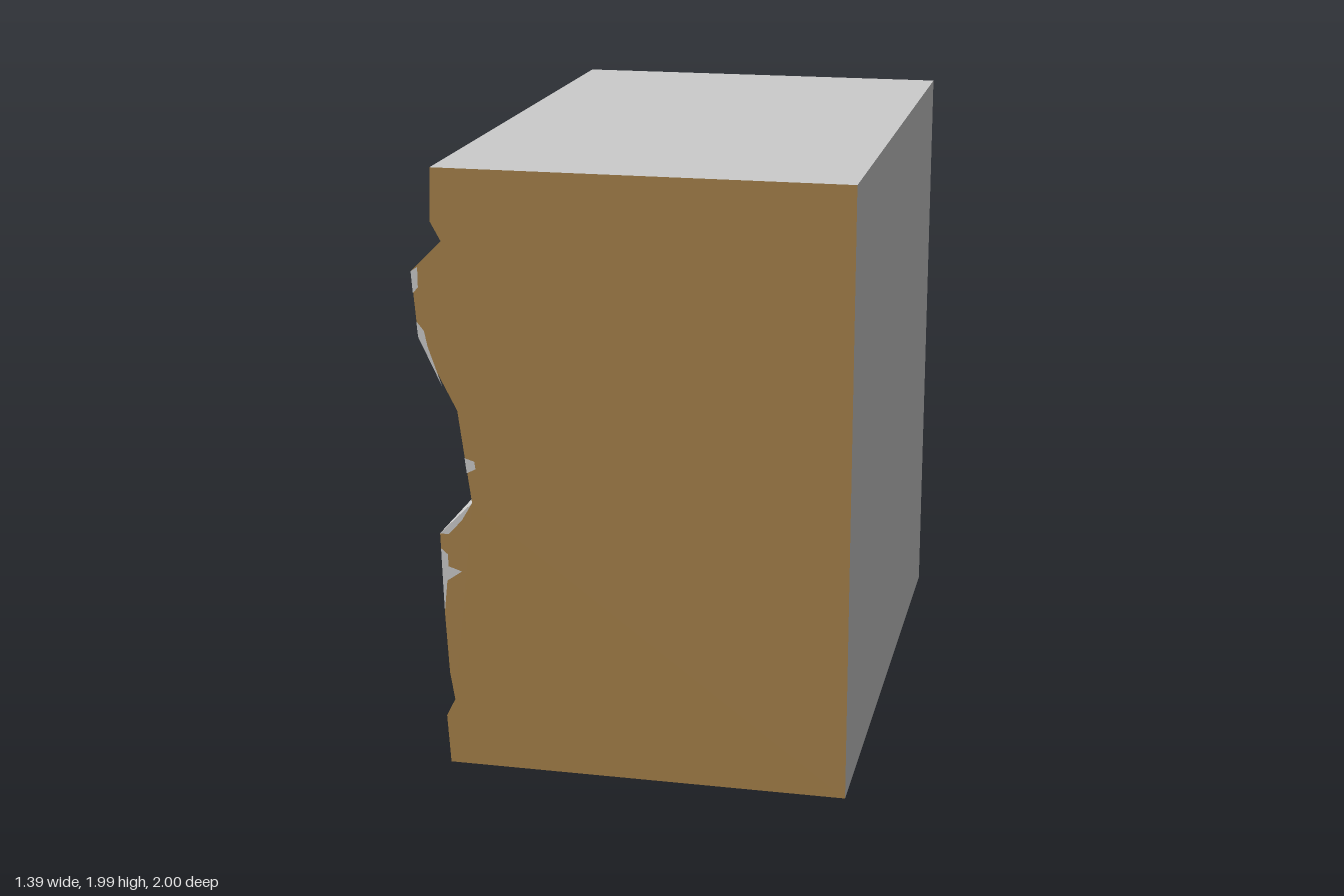
import * as THREE from 'three';

const RIGHT = 0.695, TOP = 1.99, FRONT = 1, BACK = -1;

// Moulded edge, listed from top to bottom
const PROFILE = [
  [-0.625, TOP], [-0.63, 1.82], [-0.597, 1.76], [-0.697, 1.66], [-0.68, 1.45],
  [-0.56, 1.215], [-0.52, 0.91], [-0.63, 0.8], [-0.622, 0.515], [-0.612, 0.32],
  [-0.597, 0.225], [-0.627, 0.165], [-0.617, 0],
];

// Places along the edge where the front facing is chipped away
const CHIPS = [
  [[-0.697, 1.66], [-0.675, 1.675], [-0.675, 1.61], [-0.692, 1.59]],
  [[-0.684, 1.5], [-0.66, 1.47], [-0.65, 1.42], [-0.605, 1.29], [-0.56, 1.215], [-0.68, 1.45]],
  [[-0.54, 1.06], [-0.508, 1.05], [-0.505, 1.025], [-0.534, 1.01]],
  [[-0.52, 0.91], [-0.63, 0.8], [-0.6, 0.8], [-0.555, 0.85]],
  [[-0.628, 0.75], [-0.605, 0.73], [-0.605, 0.69], [-0.56, 0.675], [-0.61, 0.64], [-0.622, 0.53]],
];

// Flat panel in the front plane
function facing(points, z) {
  const shape = new THREE.Shape(points.map(([x, y]) => new THREE.Vector2(x, y)));
  return new THREE.ShapeGeometry(shape).translate(0, 0, z);
}

// Wall running from front to back along a path that goes counter-clockwise
function wall(path) {
  const pos = [];
  for (let i = 0; i < path.length - 1; i++) {
    const [ax, ay] = path[i], [bx, by] = path[i + 1];
    pos.push(ax, ay, FRONT, ax, ay, BACK, bx, by, BACK);
    pos.push(ax, ay, FRONT, bx, by, BACK, bx, by, FRONT);
  }
  const g = new THREE.BufferGeometry();
  g.setAttribute('position', new THREE.Float32BufferAttribute(pos, 3));
  g.computeVertexNormals();
  return g;
}

export function createModel() {
  const group = new THREE.Group();
  group.name = 'mouldedBlock';

  const grey = new THREE.MeshStandardMaterial({ color: 0xcccccc, side: THREE.DoubleSide });
  grey.name = 'light grey';
  const brown = new THREE.MeshStandardMaterial({ color: 0xa8834b, side: THREE.DoubleSide });
  brown.name = 'wood brown';

  const add = (name, geometry, material) => {
    const mesh = new THREE.Mesh(geometry, material);
    mesh.name = name;
    group.add(mesh);
  };

  const topEdge = PROFILE[0], bottomEdge = PROFILE[PROFILE.length - 1];

  // Open-backed shell
  add('mouldedSide', wall(PROFILE), grey);
  add('bottomPanel', wall([bottomEdge, [RIGHT, 0]]), grey);
  add('plainSide', wall([[RIGHT, 0], [RIGHT, TOP]]), grey);
  add('topPanel', wall([[RIGHT, TOP], topEdge]), grey);

  // Wooden front with chipped spots
  add('frontFacing', facing([...PROFILE, [RIGHT, 0], [RIGHT, TOP]], FRONT), brown);
  CHIPS.forEach((points, i) => add(`edgeChip${i + 1}`, facing(points, FRONT + 0.002), grey));

  return group;
}
